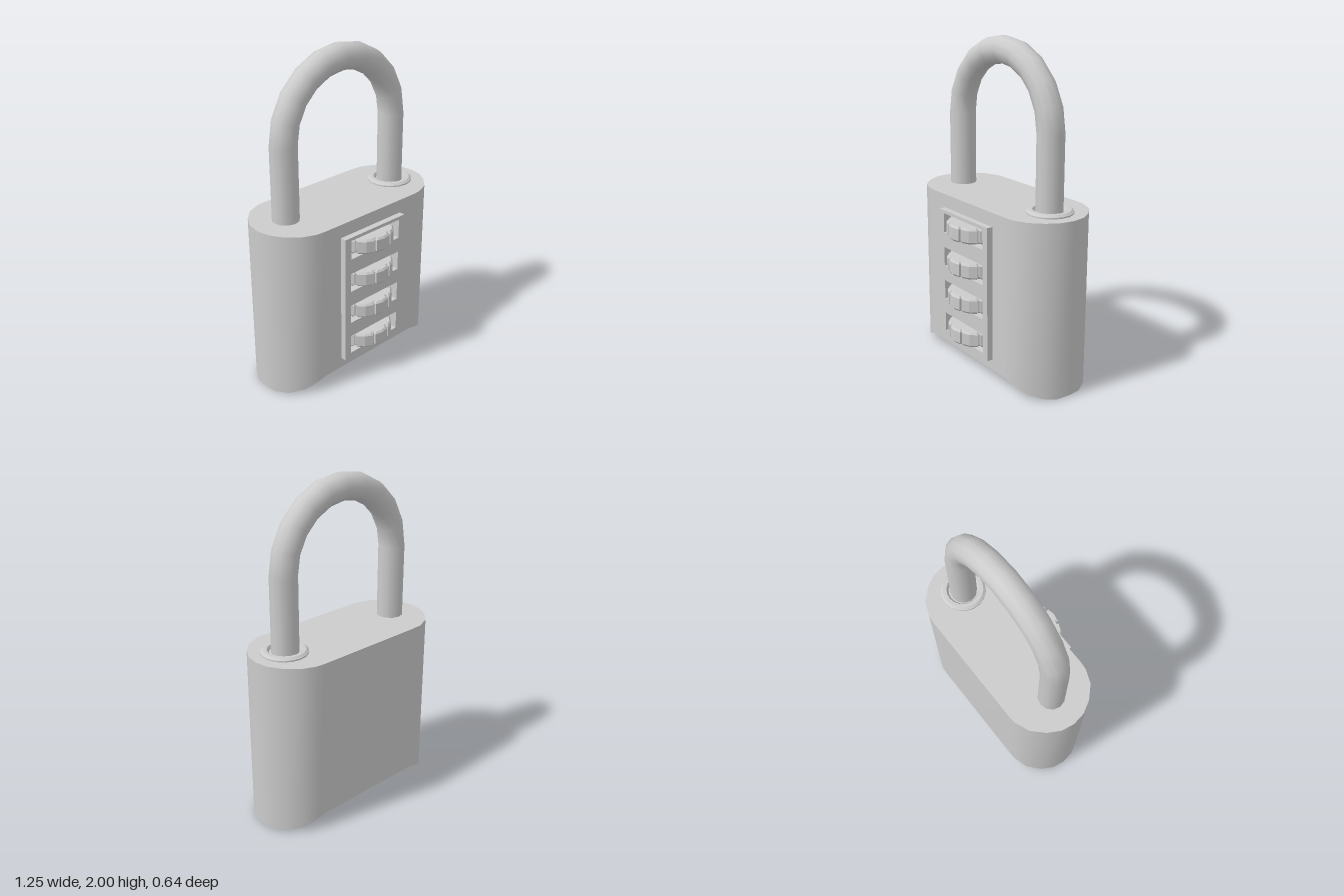
import * as THREE from 'three';
import { toCreasedNormals } from 'three/addons/utils/BufferGeometryUtils.js';

const MID_Z = -0.057, TOP = 1.058, HALF_DEPTH = 0.265, LEG_X = 0.418;
const WHEEL_Y = [0.895, 0.68, 0.465, 0.25];
const grey = new THREE.MeshStandardMaterial({ color: 0xcccccc });

function add(parent, name, geometry, x = 0, y = 0, z = 0) {
  const mesh = new THREE.Mesh(geometry, grey);
  mesh.name = name;
  mesh.position.set(x, y, z);
  parent.add(mesh);
  return mesh;
}

function rectangle(Type, halfW, y0, y1) {
  return new Type([
    new THREE.Vector2(-halfW, y0), new THREE.Vector2(halfW, y0),
    new THREE.Vector2(halfW, y1), new THREE.Vector2(-halfW, y1),
  ]);
}

// Skin over closed rings; skip(ring, side) leaves a quad open
function loft(rings, skip) {
  const pos = [], n = rings[0].length;
  for (let r = 0; r < rings.length - 1; r++) {
    for (let i = 0; i < n; i++) {
      if (skip(r, i)) continue;
      const j = (i + 1) % n, A = rings[r], B = rings[r + 1];
      if (r < rings.length - 2) pos.push(...A[i], ...B[j], ...B[i]);
      if (r > 0) pos.push(...A[i], ...A[j], ...(r < rings.length - 2 ? B[j] : B[i]));
    }
  }
  const g = new THREE.BufferGeometry();
  g.setAttribute('position', new THREE.Float32BufferAttribute(pos, 3));
  return toCreasedNormals(g, 0.65);
}

// Rounded-end case with an arched, hollowed underside
function buildBody(parent) {
  // x, z and bottom height along a quarter of the outline
  const quarter = [[0.36, 0.265, 0.088], [0.415, 0.26, 0.073], [0.5, 0.225, 0.033],
    [0.57, 0.155, 0.007], [0.612, 0.08, 0], [0.625, 0, 0.005]];
  const half = [...quarter, ...quarter.slice(0, -1).reverse().map(([x, z, y]) => [x, -z, y])];
  const outline = [...half, ...half.map(([x, z, y]) => [-x, -z, y])];
  const ring = (sx, sz, height) => outline.map(([x, z, y]) => [x * sx, height(y), z * sz]);
  const rings = [
    ring(0, 0, () => 0.1),
    ring(0.94, 0.88, () => 0.1),
    ring(0.955, 0.91, (y) => y + 0.004),
    ring(1, 1, (y) => y),
    ring(1, 1, () => TOP),
    ring(0, 0, () => TOP),
  ];
  const last = outline.length - 1;
  add(parent, 'body', loft(rings, (r, i) => r === 3 && i === last), 0, 0, MID_Z);

  // Flat front wall, open behind the dial plate
  const wall = rectangle(THREE.Shape, 0.36, 0.088, TOP);
  wall.holes.push(rectangle(THREE.Path, 0.235, 0.16, 0.97));
  add(parent, 'frontWall', new THREE.ShapeGeometry(wall), 0, 0, MID_Z + HALF_DEPTH);
}

// Raised plate with four windows and their dark backs
function buildDialPlate(parent) {
  const plate = rectangle(THREE.Shape, 0.24, 0.155, 0.975);
  for (const y of WHEEL_Y) plate.holes.push(rectangle(THREE.Path, 0.195, y - 0.06, y + 0.06));
  add(parent, 'dialPlate',
    new THREE.ExtrudeGeometry(plate, { depth: 0.145, bevelEnabled: false }), 0, 0, 0.1);
  add(parent, 'windowBacking', new THREE.PlaneGeometry(0.46, 0.8), 0, 0.57, 0.105);
}

// Ten-sided number wheels with grooves between the faces
function buildWheels(parent) {
  const points = [];
  for (let k = 0; k < 10; k++) {
    for (const [offset, r] of [[-15.8, 0.187], [0, 0.19], [15.8, 0.187], [16.6, 0.173], [19.4, 0.173]]) {
      const a = THREE.MathUtils.degToRad(90 + k * 36 + offset);
      points.push(new THREE.Vector2(r * Math.cos(a), r * Math.sin(a)));
    }
  }
  const geometry = new THREE.ExtrudeGeometry(new THREE.Shape(points), {
    depth: 0.07, bevelThickness: 0.012, bevelSize: 0.01, bevelOffset: -0.01, bevelSegments: 1,
  });
  geometry.translate(0, 0, -0.035).rotateX(-Math.PI / 2);
  WHEEL_Y.forEach((y, i) => add(parent, `numberWheel${i + 1}`, geometry, 0, y, 0.128));
}

// Round bar bent into a half circle on two straight legs
function buildShackle(parent) {
  const shackle = new THREE.Group();
  shackle.name = 'shackle';
  const bend = 1.502, r = 0.08, base = 1.0;
  add(shackle, 'shackleBend', new THREE.TorusGeometry(LEG_X, r, 12, 10, Math.PI), 0, bend, MID_Z);
  const leg = new THREE.CylinderGeometry(r, r, bend - base, 12, 1, true);
  leg.rotateY(Math.PI / 2);
  for (const side of [-1, 1]) {
    add(shackle, side > 0 ? 'leftLeg' : 'rightLeg', leg, side * LEG_X, (bend + base) / 2, MID_Z);
  }
  parent.add(shackle);
}

// Bevelled ring around the left leg
function buildCollar(parent) {
  const profile = [[0.137, 1.05], [0.137, 1.066], [0.122, 1.078], [0.1, 1.078], [0.088, 1.06], [0.078, 1.06]]
    .map(([x, y]) => new THREE.Vector2(x, y));
  const ring = toCreasedNormals(new THREE.LatheGeometry(profile, 18), 0.5);
  add(parent, 'collar', ring, LEG_X + 0.005, 0, MID_Z).material =
    new THREE.MeshStandardMaterial({ color: 0xcccccc, side: THREE.DoubleSide });
}

export function createModel() {
  const model = new THREE.Group();
  model.name = 'combinationPadlock';
  buildBody(model);
  buildDialPlate(model);
  buildWheels(model);
  buildShackle(model);
  buildCollar(model);
  return model;
}
